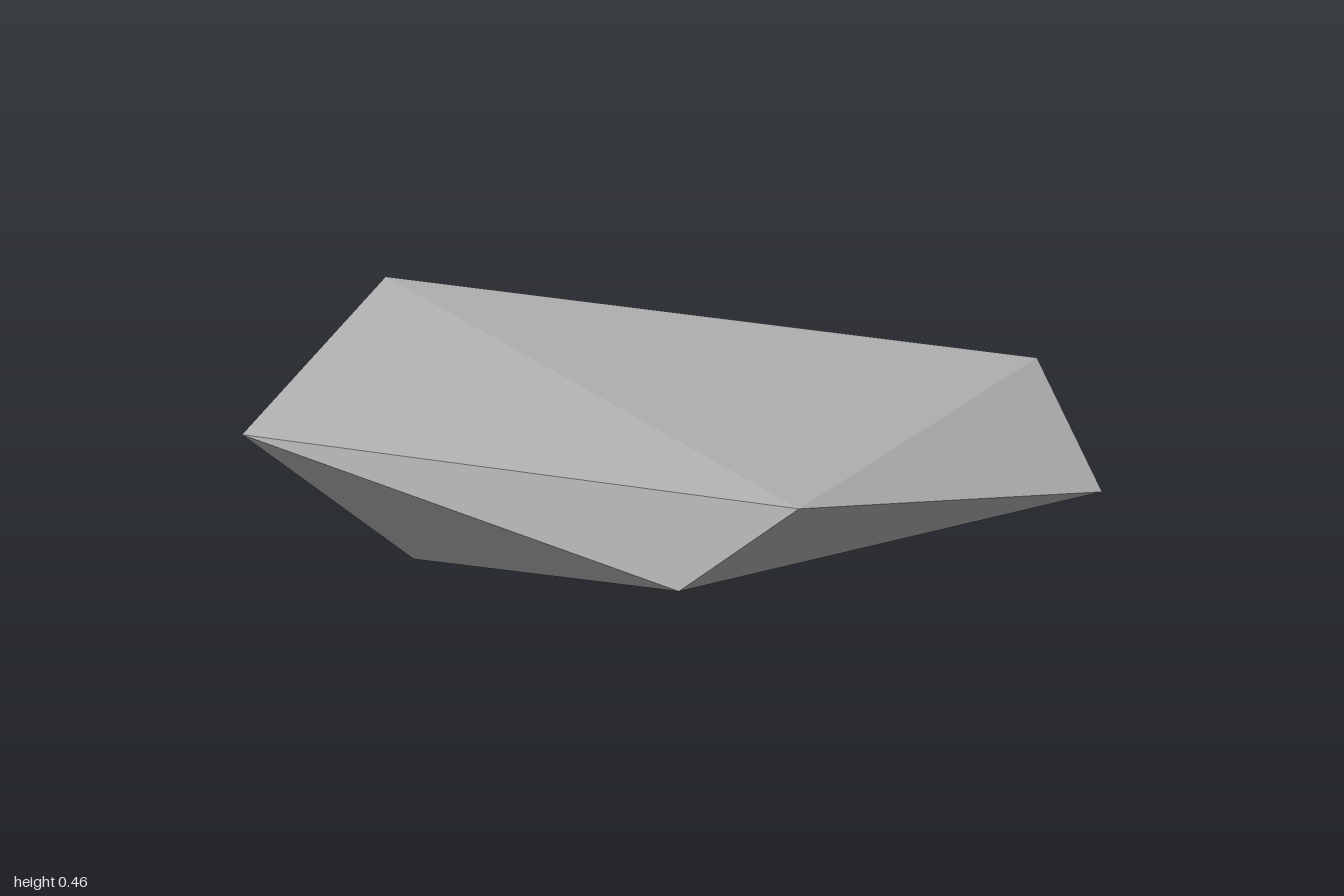
import * as THREE from 'three';
import { ConvexGeometry } from 'three/addons/geometries/ConvexGeometry.js';

// Corners of the faceted stone, from the crown down to the underside
const corners = [
  // crown ridge
  [-0.25, 0.46, -0.54], [0.5, 0.4, 0.57],
  // upper rim
  [-0.03, 0.195, -1], [-0.67, 0.22, -0.43], [0.67, 0.245, -0.48],
  [-0.37, 0.285, 0.995], [0.4, 0.21, 0.925],
  // lower rim and foot
  [-0.49, 0.097, 0.765], [0.61, 0.083, 0.47],
  [0.22, 0.065, -0.77], [-0.47, 0, -0.14],
];

export function createModel() {
  const model = new THREE.Group();
  model.name = 'rock';

  const stoneGrey = new THREE.MeshStandardMaterial({ color: 0xaaaaaa });
  stoneGrey.name = 'stoneGrey';

  // Convex shell with flat facets
  const points = corners.map((c) => new THREE.Vector3(...c));
  const stone = new THREE.Mesh(new ConvexGeometry(points), stoneGrey);
  stone.name = 'stone';
  model.add(stone);

  return model;
}
